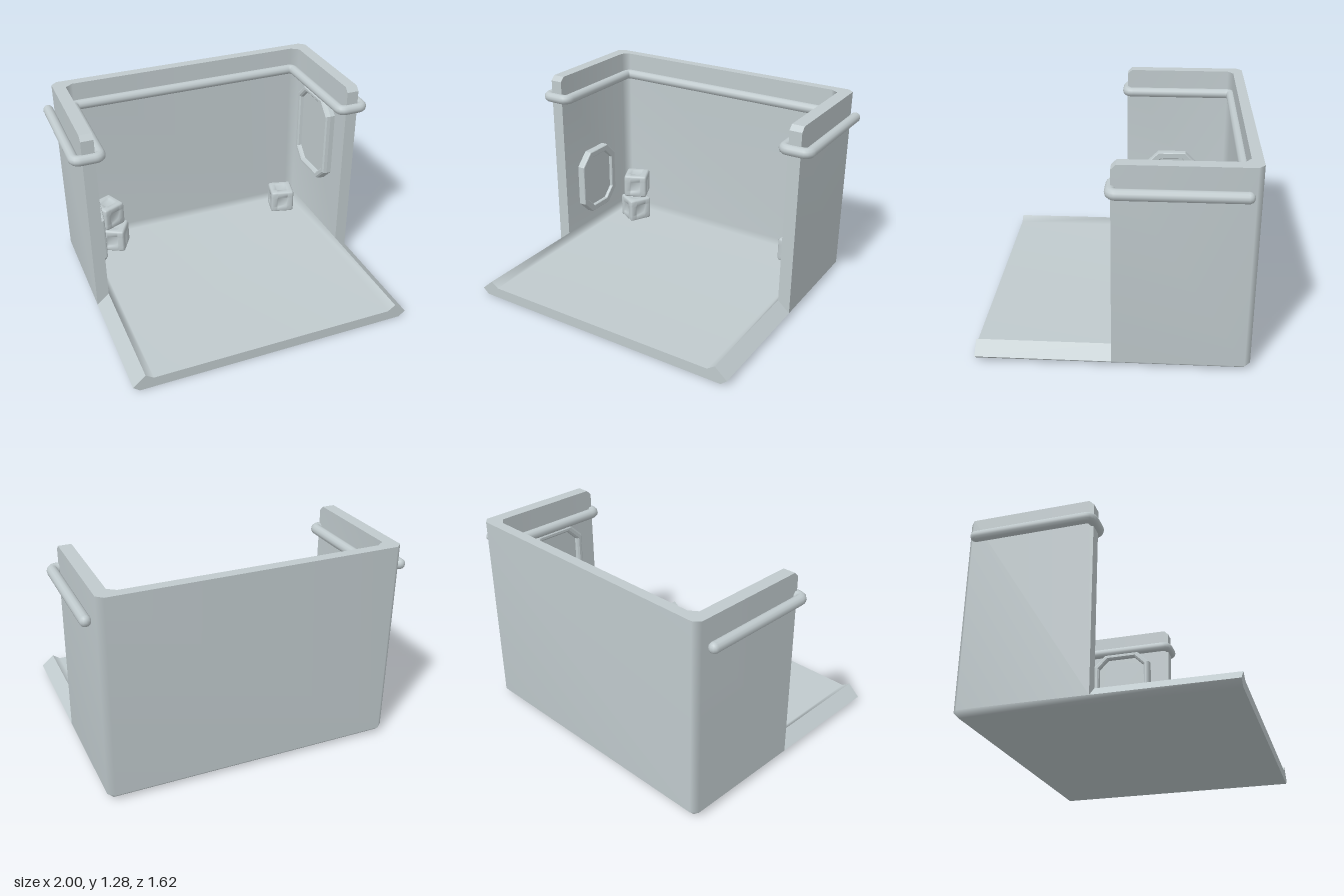
import * as THREE from 'three';
import { mergeVertices } from 'three/addons/utils/BufferGeometryUtils.js';

const grey = new THREE.MeshStandardMaterial({ color: 0xc0cacd });
grey.name = 'pale blue grey';

function add(parent, name, geometry) {
  const mesh = new THREE.Mesh(geometry, grey);
  mesh.name = name;
  parent.add(mesh);
  return mesh;
}

// Named corner points of one skin of the open room, on side s (+1 or -1)
const TOP = 1.28;
function corners({ X, x, y, Y, Z, z }, s) {
  return {
    F: [s * x, y, 0.81], E: [s * X, Y, 0.81], N: [s * X, Y, 0],
    P: [s * X, TOP - 0.03, 0], Q: [s * X, TOP, -0.03], R: [s * X, TOP, z],
    T: [s * x, TOP, Z], S: [s * X, Y, z], K: [s * x, Y, Z], B: [s * x, y, z],
  };
}

function polygons(faces, smooth) {
  const pos = [];
  for (const f of faces)
    for (let i = 1; i < f.length - 1; i++) pos.push(...f[0], ...f[i], ...f[i + 1]);
  let g = new THREE.BufferGeometry();
  g.setAttribute('position', new THREE.Float32BufferAttribute(pos, 3));
  if (smooth) g = mergeVertices(g);
  g.computeVertexNormals();
  return g;
}

// Floor, side and back faces with chamfers between them
function skin(dims, inward) {
  const r = corners(dims, 1), l = corners(dims, -1);
  const faces = [
    [l.B, r.B, r.F, l.F], [l.K, l.T, r.T, r.K], [l.B, l.K, r.K, r.B],
  ];
  for (const c of [r, l]) {
    const side = [
      [c.S, c.R, c.Q, c.P, c.N], [c.F, c.B, c.S, c.N, c.E],
      [c.R, c.S, c.K, c.T], [c.S, c.B, c.K],
    ];
    faces.push(...(c === r ? side : side.map((f) => f.reverse())));
  }
  return polygons(inward ? faces.map((f) => f.reverse()) : faces, true);
}

function rimLoop(dims) {
  const r = corners(dims, 1), l = corners(dims, -1);
  const keys = ['F', 'E', 'N', 'P', 'Q', 'R', 'T'];
  return [...keys.map((k) => r[k]), ...keys.reverse().map((k) => l[k])];
}

// Toy block: a cube grid with softened edges and a sunken square on each face
function blockGeometry(size) {
  let g = new THREE.BoxGeometry(2, 2, 2, 7, 7, 7);
  g.deleteAttribute('normal');
  g.deleteAttribute('uv');
  g = mergeVertices(g);
  const steps = [-1, -0.84, -0.5, -0.38, 0.38, 0.5, 0.84, 1];
  const p = g.attributes.position;
  for (let i = 0; i < p.count; i++) {
    let v = [p.getX(i), p.getY(i), p.getZ(i)].map((c) => steps[Math.round((c + 1) * 3.5)]);
    const outer = v.filter((c) => Math.abs(c) === 1).length;
    const inPlane = Math.max(...v.map(Math.abs).filter((c) => c < 1), 0);
    const reach = outer === 3 ? 0.89 : outer === 2 ? 0.94 : inPlane < 0.4 ? 0.82 : 1;
    v = v.map((c) => (Math.abs(c) === 1 ? c * reach : c) * size / 2);
    p.setXYZ(i, ...v);
  }
  g.computeVertexNormals();
  return g;
}

// Rectangle outline with cut corners
function cutRect(Type, w, h, c) {
  const a = w / 2, b = h / 2;
  return new Type([
    [a - c, -b], [a, -b + c], [a, b - c], [a - c, b],
    [-a + c, b], [-a, b - c], [-a, -b + c], [-a + c, -b],
  ].map(([x, y]) => new THREE.Vector2(x, y)));
}

// Framed wall panel, facing the middle of the room
function wallPanel(name, side, w, h, y, z, depth, bevel) {
  const panel = new THREE.Group();
  panel.name = name;
  const frame = cutRect(THREE.Shape, w, h, 0.09);
  frame.holes.push(cutRect(THREE.Path, w - 0.09, h - 0.09, 0.07));
  add(panel, 'panelFrame', new THREE.ExtrudeGeometry(frame, {
    depth: depth - bevel, bevelThickness: bevel, bevelSize: bevel / 2, bevelOffset: -bevel / 2, bevelSegments: 2,
  }));
  add(panel, 'panelInset', new THREE.ExtrudeGeometry(
    cutRect(THREE.Shape, w - 0.07, h - 0.07, 0.07), { depth: depth * 0.55, bevelEnabled: false }));
  panel.rotation.y = -side * Math.PI / 2;
  panel.position.set(side * 0.84, y, z);
  return panel;
}

// Rail path with rounded bends
function railCurve(points, bend) {
  const path = new THREE.CurvePath();
  let from = points[0];
  for (let i = 1; i < points.length; i++) {
    const p = points[i], next = points[i + 1];
    if (!next) { path.add(new THREE.LineCurve3(from, p)); break; }
    const a = p.clone().add(points[i - 1].clone().sub(p).setLength(bend));
    const b = p.clone().add(next.clone().sub(p).setLength(bend));
    path.add(new THREE.LineCurve3(from, a));
    path.add(new THREE.QuadraticBezierCurve3(a, p, b));
    from = b;
  }
  return path;
}

export function createModel() {
  const model = new THREE.Group();
  model.name = 'openRoom';

  // Room shell
  const outer = { X: 0.92, x: 0.88, y: 0, Y: 0.035, Z: -0.81, z: -0.775 };
  const inner = { X: 0.84, x: 0.79, y: 0.07, Y: 0.105, Z: -0.745, z: -0.71 };
  add(model, 'outerShell', skin(outer, false));
  add(model, 'innerShell', skin(inner, true));
  const o = rimLoop(outer), n = rimLoop(inner);
  add(model, 'shellRim', polygons(o.map((p, i) => {
    const j = (i + 1) % o.length;
    return [p, o[j], n[j], n[i]];
  }), false));

  // Rail running round the inside and hooking over both wall ends
  const railY = 1.13, radius = 0.033;
  const half = [[0.966, -0.73], [0.966, 0], [0.802, 0], [0.802, -0.735]];
  const points = [
    ...half.map(([x, z]) => new THREE.Vector3(-x, railY, z)),
    ...half.reverse().map(([x, z]) => new THREE.Vector3(x, railY, z)),
  ];
  const rail = new THREE.Group();
  rail.name = 'wallRail';
  model.add(rail);
  add(rail, 'railTube', new THREE.TubeGeometry(railCurve(points, 0.04), 400, radius, 12));
  for (const end of [points[0], points[7]])
    add(rail, 'railEnd', new THREE.SphereGeometry(radius, 12, 8)).position.copy(end);

  // Wall panels
  model.add(wallPanel('rightWallPanel', -1, 0.38, 0.47, 0.435, -0.33, 0.05, 0.012));
  model.add(wallPanel('leftWallPanel', 1, 0.44, 0.62, 0.8, -0.36, 0.062, 0.03));

  // Toy blocks: x, y, z, turn
  const block = blockGeometry(0.168);
  for (const [x, y, z, turn] of [
    [-0.635, 0.152, -0.565, -0.5], [-0.66, 0.318, -0.618, 0.42], [0.678, 0.152, -0.587, -0.25],
  ]) {
    const mesh = add(model, 'toyBlock', block);
    mesh.position.set(x, y, z);
    mesh.rotation.y = turn;
  }
  return model;
}
